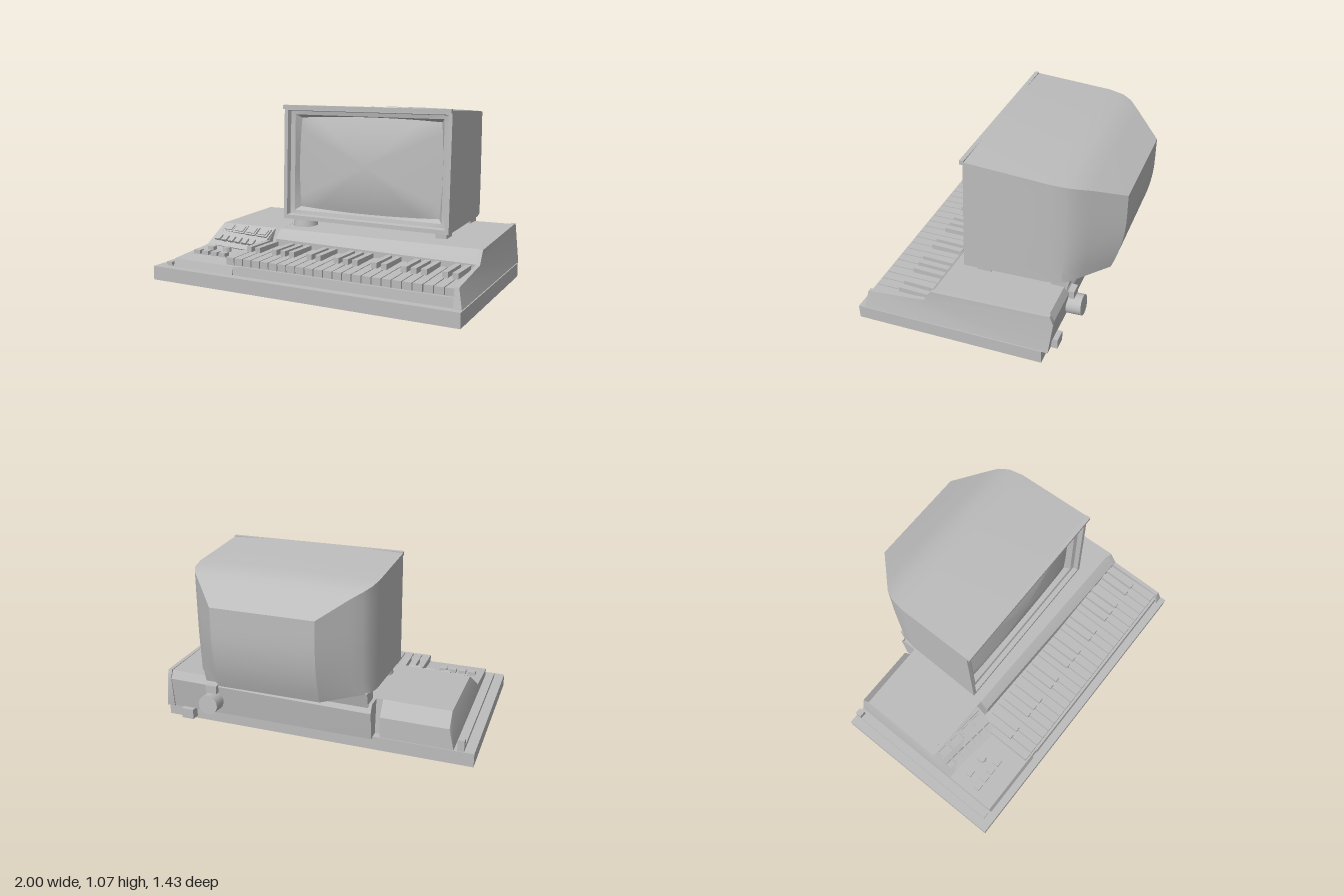
import * as THREE from 'three';
import { toCreasedNormals } from 'three/addons/utils/BufferGeometryUtils.js';

const grey = new THREE.MeshStandardMaterial({ color: 0xbcbcbc });
grey.name = 'plain grey';

function add(parent, name, geo, x = 0, y = 0, z = 0) {
  const m = new THREE.Mesh(geo, grey);
  m.name = name;
  m.position.set(x, y, z);
  parent.add(m);
  return m;
}

const box = (w, h, d) => new THREE.BoxGeometry(w, h, d);

// Move every vertex by a rule, then restore crisp normals
function warp(geo, rule) {
  const p = geo.attributes.position, v = new THREE.Vector3();
  for (let i = 0; i < p.count; i++) {
    v.fromBufferAttribute(p, i);
    rule(v);
    p.setXYZ(i, v.x, v.y, v.z);
  }
  geo.computeVertexNormals();
  return toCreasedNormals(geo, 0.5);
}

// Extrude a [z, y] side profile from x0 to x1
function sideProfile(points, x0, x1) {
  const shape = new THREE.Shape(points.map(([z, y]) => new THREE.Vector2(-z, y)));
  return new THREE.ExtrudeGeometry(shape, { depth: x1 - x0, bevelEnabled: false })
    .rotateY(Math.PI / 2).translate(x0, 0, 0);
}

// Skin a grid of points given as rows
function skin(rows, crease = 0.4) {
  const n = rows[0].length, index = [];
  for (let i = 0; i < rows.length - 1; i++) {
    for (let j = 0; j < n - 1; j++) {
      const a = i * n + j, b = a + 1, c = a + n, d = c + 1;
      index.push(a, c, b, b, c, d);
    }
  }
  const geo = new THREE.BufferGeometry();
  geo.setAttribute('position', new THREE.Float32BufferAttribute(rows.flat(2), 3));
  geo.setIndex(index);
  geo.computeVertexNormals();
  return toCreasedNormals(geo, crease);
}

// The right flank narrows to the rear; the deck drops and recedes toward -x
const taper = v => { if (v.x > 0.5) v.x -= 0.045 * (0.7 - v.z) / 1.13; };
function deckRule(v) {
  const k = (0.95 - v.x) / 1.83;
  if (v.y > 0.25) v.y -= 0.025 * k;
  if (v.z > 0.2 && v.z < 0.32) v.z -= 0.05 * k;
  if (v.x < -0.8 && v.y > 0.2) v.x += 0.03;
  taper(v);
}

function buildBody(g) {
  add(g, 'base', warp(box(2, 0.085, 1.13).translate(0, 0.0475, 0.15), taper));
  add(g, 'basePlate', warp(box(1.97, 0.01, 1.1).translate(0, 0.005, 0.15), taper));
  add(g, 'mainDeck', warp(sideProfile([[0.665, 0.085], [0.66, 0.145], [0.295, 0.15], [0.295, 0.235],
    [0.24, 0.31], [-0.44, 0.33], [-0.465, 0.28], [-0.44, 0.085]], -0.4, 0.96), deckRule));
  add(g, 'leftDeck', warp(sideProfile([[0.67, 0.085], [0.655, 0.14], [0.34, 0.165], [0.24, 0.31],
    [-0.35, 0.33], [-0.41, 0.22], [-0.41, 0.085]], -0.88, -0.44), deckRule));
  add(g, 'deckJoint', warp(sideProfile([[0.66, 0.085], [0.655, 0.14], [0.295, 0.16], [0.24, 0.31],
    [-0.35, 0.33], [-0.37, 0.085]], -0.44, -0.4), deckRule));
  // End cheek leans inward toward its top
  add(g, 'endCheek', warp(sideProfile([[0.68, 0.085], [0.655, 0.2], [0.3, 0.235], [0.25, 0.31],
    [-0.45, 0.335], [-0.47, 0.28], [-0.45, 0.085]], 0.945, 0.995), v => {
    if (v.x > 0.97 && v.y > 0.19) v.x -= 0.025;
    taper(v);
  }));
  add(g, 'sideRail', box(0.04, 0.03, 1.06), -0.92, 0.1, 0.13);
  add(g, 'railStop', box(0.04, 0.07, 0.04), -0.92, 0.125, -0.39);
  add(g, 'rearFoot', box(0.08, 0.065, 0.08), 0.8, 0.055, -0.43);
  // Rear knob with its collar and bracket
  const knob = add(g, 'rearKnob', new THREE.CylinderGeometry(0.062, 0.062, 0.09, 28), 0.61, 0.18, -0.5);
  knob.rotation.x = Math.PI / 2 + 0.08;
  const collar = add(g, 'knobCollar', new THREE.CylinderGeometry(0.04, 0.04, 0.06, 20), 0.61, 0.18, -0.45);
  collar.rotation.x = Math.PI / 2;
  add(g, 'knobBracket', box(0.07, 0.05, 0.05), 0.61, 0.265, -0.47);
}

function buildKeyboard(g) {
  const keys = new THREE.Group();
  keys.name = 'keyboard';
  g.add(keys);
  const count = 24, x0 = -0.5, pitch = 1.445 / count;
  for (let i = 0; i < count; i++) {
    const white = add(keys, 'whiteKey', box(pitch - 0.006, 0.045, 0.36), x0 + (i + 0.5) * pitch, 0.172, 0.465);
    white.rotation.x = 0.03;
    if ([0, 1, 3, 4, 5].includes(i % 7) && i < count - 1) {
      add(keys, 'blackKey', box(0.034, 0.05, 0.2), x0 + (i + 1) * pitch, 0.202, 0.39);
    }
  }
}

function buildControls(g) {
  // Sloped switch panel, turned slightly toward the player
  const panel = new THREE.Group();
  panel.name = 'switchPanel';
  panel.position.set(-0.645, 0.226, 0.27);
  panel.rotation.set(0.6, -0.12, 0, 'YXZ');
  g.add(panel);
  add(panel, 'panelPlate', box(0.4, 0.03, 0.21), 0, -0.012, 0);
  for (let i = 0; i < 4; i++) {
    const x = -0.145 + i * 0.097;
    add(panel, 'switchFrame', box(0.084, 0.014, 0.068), x, 0.006, -0.05);
    add(panel, 'switchCap', box(0.062, 0.014, 0.046), x, 0.012, -0.05);
  }
  for (let i = 0; i < 7; i++) {
    add(panel, 'smallSwitch', box(0.042, 0.024, 0.042), -0.168 + i * 0.056, 0.008, 0.045);
  }
  // Buttons on the lower panel
  for (let i = 0; i < 4; i++) {
    add(g, 'squareButton', box(0.046, 0.03, 0.042), -0.81 + i * 0.064, 0.16, 0.51);
  }
  add(g, 'toggle', box(0.045, 0.03, 0.035), -0.775, 0.167, 0.42);
  add(g, 'dial', new THREE.CylinderGeometry(0.025, 0.028, 0.035, 20), -0.66, 0.17, 0.42);
}

function buildMonitor(g) {
  const mon = new THREE.Group();
  mon.name = 'monitor';
  mon.position.x = 0.152;
  g.add(mon);
  const frontZ = y => 0.155 - 0.03 * (y - 0.35) / 0.72;

  // Housing cross-sections: z, half width, bottom, top, share of rear bulge
  const sections = [
    [0, 0.56, 0.35, 1.06, 0], [-0.35, 0.555, 0.375, 1.035, 0], [-0.44, 0.54, 0.38, 1.025, 0.1],
    [-0.5, 0.51, 0.385, 1.01, 0.3], [-0.56, 0.455, 0.385, 0.982, 0.5], [-0.72, 0.31, 0.385, 0.895, 1]];
  const N = 8;
  const rings = sections.map(([z, hw, yb, yt, w], s) => {
    const ring = [];
    const put = (x, y) => {
      const bulge = y < 0.75 ? 0.07 * ((0.75 - y) / 0.365) ** 2 : 0;
      ring.push([x, y, s === 0 ? frontZ(y) : z + w * bulge]);
    };
    for (let j = 0; j <= N; j++) put(hw, yb + (yt - yb) * j / N);
    for (let j = 1; j < N; j++) {
      const t = 1 - 2 * j / N;
      put(hw * t, yt + 0.012 * (1 - t * t) * (1 - w));
    }
    for (let j = 0; j <= N; j++) put(-hw, yt - (yt - yb) * j / N);
    ring.push(ring[0]);
    return ring;
  });
  add(mon, 'housing', skin(rings));
  const last = rings[rings.length - 1];
  const back = [];
  for (let j = 0; j <= N; j++) back.push([last[3 * N - 1 + 1 - j - 0], last[j]]);
  // Pair each right-hand point with its mirror image
  back.forEach(row => { row[0] = [-row[1][0], row[1][1], row[1][2]]; });
  add(mon, 'housingBack', skin(back));

  // Rectangular loop, clockwise, with sides bowed outward
  const loop = (hw, hh, bow, dz, cy = 0.705) => {
    const pts = [];
    for (let k = 0; k <= 32; k++) {
      const side = Math.floor(k / 8) % 4, t = (k % 8) / 4 - 1, b = bow * (1 - t * t);
      const [x, y] = [[t * hw, hh + b], [hw + b, -t * hh], [-t * hw, -hh - b], [-hw - b, t * hh]][side];
      pts.push([x, cy + y, frontZ(cy + y) + dz]);
    }
    return pts;
  };
  add(mon, 'bezel', skin([loop(0.56, 0.355, 0, 0), loop(0.535, 0.33, 0, 0), loop(0.53, 0.325, 0, -0.03),
    loop(0.5, 0.302, 0, -0.035), loop(0.472, 0.282, 0.014, -0.07)]));
  const glass = [];
  for (let i = 0; i <= 10; i++) {
    const s = 1 - i / 10.02;
    glass.push(loop(0.472 * s, 0.282 * s, 0.014 * s, -0.07 + 0.05 * (1 - s * s)));
  }
  add(mon, 'screen', skin(glass, 0.8));
  add(mon, 'topLip', box(1.12, 0.025, 0.025), 0, 1.055, 0.133);

  // Supports under the housing
  add(g, 'frontFoot', new THREE.CylinderGeometry(0.07, 0.08, 0.07, 24), -0.31, 0.325, 0.045);
  add(g, 'frontFoot', box(0.07, 0.06, 0.09), 0.64, 0.33, 0.045);
  add(g, 'rearSupport', sideProfile([[-0.36, 0.29], [-0.36, 0.385], [-0.475, 0.39], [-0.45, 0.29]], -0.38, 0.66));
}

export function createModel() {
  const g = new THREE.Group();
  g.name = 'keyboardWorkstation';
  buildBody(g);
  buildKeyboard(g);
  buildControls(g);
  buildMonitor(g);
  return g;
}
